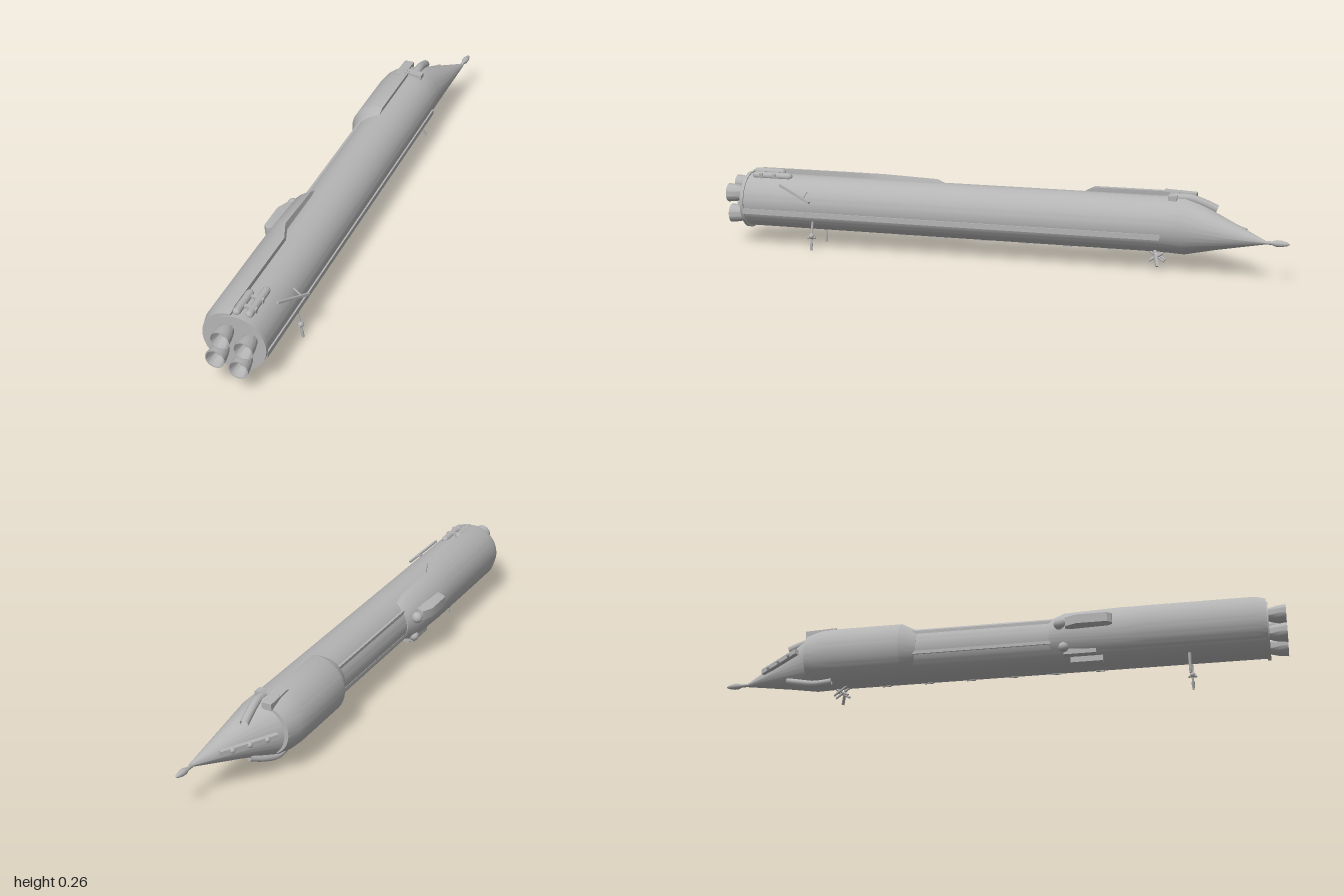
import * as THREE from 'three';
import { toCreasedNormals } from 'three/addons/utils/BufferGeometryUtils.js';

const V = (x, y, z) => new THREE.Vector3(x, y, z);
const RAD = Math.PI / 180;

// Skins a list of convex cross-sections that run from +z towards -z, and caps both ends
function loft(rows) {
  const n = rows[0].length, pos = [], idx = [];
  rows.forEach(r => r.forEach(p => pos.push(p.x, p.y, p.z)));
  for (let i = 0; i < rows.length - 1; i++) {
    for (let k = 0; k < n; k++) {
      const a = i * n + k, b = i * n + (k + 1) % n, c = a + n, d = b + n;
      idx.push(a, c, b, b, c, d);
    }
  }
  const last = (rows.length - 1) * n;
  for (let k = 1; k < n - 1; k++) {
    idx.push(0, k, k + 1, last, last + k + 1, last + k);
  }
  const g = new THREE.BufferGeometry();
  g.setAttribute('position', new THREE.Float32BufferAttribute(pos, 3));
  g.setIndex(idx);
  return toCreasedNormals(g, 28 * RAD);
}

function ring(cx, cy, z, r, n = 64) {
  return Array.from({ length: n }, (_, k) => {
    const a = k / n * 2 * Math.PI;
    return V(cx + r * Math.cos(a), cy + r * Math.sin(a), z);
  });
}

// A pie-shaped section, used for the raised fairings
function sector(cx, cy, z, r, from, to, n = 32) {
  const pts = [V(cx, cy, z)];
  for (let k = 0; k <= n; k++) {
    const a = (from + (to - from) * k / n) * RAD;
    pts.push(V(cx + r * Math.cos(a), cy + r * Math.sin(a), z));
  }
  return pts;
}

export function createModel() {
  const model = new THREE.Group();
  const grey = new THREE.MeshStandardMaterial({ color: 0xb4b4b4, side: THREE.DoubleSide });
  grey.name = 'grey';

  const add = (name, geometry, x = 0, y = 0, z = 0) => {
    const m = new THREE.Mesh(geometry, grey);
    m.name = name;
    m.position.set(x, y, z);
    model.add(m);
    return m;
  };
  // Box beam between two points
  const bar = (name, a, b, w, h) => {
    const mid = a.clone().add(b).multiplyScalar(0.5);
    const m = add(name, new THREE.BoxGeometry(w, h, a.distanceTo(b)), mid.x, mid.y, mid.z);
    m.lookAt(b);
    return m;
  };
  // Round rod between two points
  const rod = (name, a, b, r, r2 = r) => {
    const mid = a.clone().add(b).multiplyScalar(0.5);
    const m = add(name, new THREE.CylinderGeometry(r2, r, a.distanceTo(b), 10), mid.x, mid.y, mid.z);
    m.quaternion.setFromUnitVectors(V(0, 1, 0), b.clone().sub(a).normalize());
    return m;
  };
  // Rounded pod lying along z
  const pod = (name, x, y, z, r, len) =>
    add(name, new THREE.CapsuleGeometry(r, len - 2 * r, 6, 12).rotateX(Math.PI / 2), x, y, z);

  // Main hull, ending in an oblique nose cone
  add('hull', loft([
    ring(0.01, 0.152, 0.935, 0.095), ring(0.01, 0.152, -0.56, 0.095),
    ring(0.004, 0.152, -0.64, 0.1), ring(0.044, 0.144, -0.75, 0.061),
    ring(0.1, 0.131, -0.92, 0.006)
  ]));
  add('sternFlange', new THREE.CylinderGeometry(0.1, 0.1, 0.012, 64).rotateX(Math.PI / 2), 0.01, 0.15, 0.934);

  // Nose probe
  const probe = [[0, -0.1], [0.006, -0.08], [0.006, -0.06], [0.011, -0.045], [0.011, -0.03], [0.006, -0.008], [0, 0]];
  add('noseProbe', new THREE.LatheGeometry(probe.map(p => new THREE.Vector2(...p)), 16)
    .rotateX(-Math.PI / 2), 0.102, 0.13, -1).rotation.y = -0.07;

  // Raised fairings on the -x side: z, radius, start angle, end angle
  const fairing = (name, rows) => add(name,
    loft(rows.map(([z, r, from, to]) => sector(-0.008, 0.155, z, r, from, to))));
  fairing('aftFairing', [
    [0.935, 0.098, 90, 225], [0.9, 0.107, 90, 225], [0.53, 0.107, 90, 225],
    [0.45, 0.107, 107, 225], [0.25, 0.1, 107, 222], [0.2, 0.08, 112, 218]
  ]);
  fairing('foreFairing', [
    [-0.265, 0.078, 85, 240], [-0.32, 0.107, 85, 240], [-0.56, 0.107, 85, 240],
    [-0.61, 0.103, 85, 240], [-0.66, 0.088, 85, 240]
  ]);

  // Engine bells
  const bell = [[0.02, -0.065], [0.024, -0.055], [0.03, -0.03], [0.033, 0],
    [0.029, 0], [0.025, -0.02], [0.018, -0.04], [0, -0.04]].map(p => new THREE.Vector2(...p));
  for (const [x, y] of [[-0.017, 0.197], [0.06, 0.18], [-0.035, 0.12], [0.042, 0.102]]) {
    add('engineBell', toCreasedNormals(new THREE.LatheGeometry(bell, 32).rotateX(Math.PI / 2), 0.6), x, y, 1);
  }

  // Cable ducts along the hull
  bar('sideDuct', V(0.105, 0.125, 0.93), V(0.105, 0.125, -0.57), 0.008, 0.018);
  bar('upperDuct', V(-0.065, 0.203, 0.22), V(-0.065, 0.203, -0.28), 0.012, 0.02);
  bar('lowerDuct', V(-0.076, 0.125, 0.22), V(-0.076, 0.125, -0.28), 0.016, 0.012);

  // Side housing with tapered flanks
  const housing = (z, x) => [V(-0.09, 0.15, z), V(-0.09, 0.207, z), V(x, 0.197, z), V(x, 0.164, z)].reverse();
  add('sideHousing', loft([housing(0.42, -0.122), housing(0.405, -0.135), housing(0.3, -0.135), housing(0.26, -0.118)]));
  add('sideDome', new THREE.SphereGeometry(0.02, 16, 12), -0.105, 0.18, 0.24);
  add('lowerDome', new THREE.SphereGeometry(0.018, 16, 12), -0.088, 0.1, 0.25);
  bar('lowerHousing', V(-0.075, 0.085, 0.25), V(-0.075, 0.085, 0.36), 0.025, 0.022);
  bar('keelHousing', V(-0.045, 0.065, 0.27), V(-0.045, 0.065, 0.38), 0.03, 0.02);

  // Tanks on top of the stern
  pod('sternTank', 0.003, 0.251, 0.865, 0.013, 0.12);
  pod('sternTank', 0.04, 0.244, 0.84, 0.013, 0.15);
  bar('tankClamp', V(-0.012, 0.25, 0.88), V(0.055, 0.244, 0.88), 0.012, 0.018);
  bar('tankClamp', V(-0.012, 0.25, 0.83), V(0.055, 0.244, 0.83), 0.012, 0.018);

  // Equipment on top of the nose
  bar('noseBox', V(-0.025, 0.25, -0.56), V(-0.025, 0.245, -0.67), 0.035, 0.024);
  const arch = new THREE.CatmullRomCurve3([V(0.02, 0.244, -0.59), V(0.02, 0.247, -0.65), V(0.016, 0.232, -0.7), V(0.012, 0.212, -0.745)]);
  add('noseArch', new THREE.TubeGeometry(arch, 20, 0.015, 10));
  bar('crossBox', V(-0.04, 0.25, -0.6), V(0.05, 0.246, -0.6), 0.03, 0.02);

  // Strake and belly strip on the nose
  bar('noseStrake', V(-0.076, 0.165, -0.69), V(0.04, 0.15, -0.845), 0.016, 0.018);
  for (const t of [0.2, 0.5, 0.8]) {
    add('strakeStud', new THREE.SphereGeometry(0.01, 10, 8), -0.08 + 0.116 * t, 0.166 - 0.015 * t, -0.692 - 0.155 * t);
  }
  const belly = new THREE.CatmullRomCurve3([V(-0.04, 0.058, -0.57), V(-0.04, 0.054, -0.63), V(-0.024, 0.07, -0.69), V(0, 0.09, -0.74)]);
  add('bellyStrip', new THREE.TubeGeometry(belly, 20, 0.011, 10));

  // Side antenna near the stern
  bar('sideAntenna', V(0.085, 0.222, 0.795), V(0.133, 0.176, 0.665), 0.008, 0.008);
  rod('antennaBrace', V(0.092, 0.205, 0.69), V(0.122, 0.186, 0.695), 0.003);

  // Lower masts
  rod('portMast', V(-0.035, 0.07, 0.67), V(-0.029, 0, 0.67), 0.006, 0.004);
  rod('starboardMast', V(0.094, 0.1, 0.67), V(0.113, 0, 0.67), 0.004, 0.004);
  add('mastJoint', new THREE.SphereGeometry(0.01, 12, 8), 0.105, 0.05, 0.67);
  rod('mastFoot', V(0.109, 0.025, 0.67), V(0.113, 0.003, 0.67), 0.006, 0.004);
  rod('mastCrossbar', V(0.105, 0.045, 0.655), V(0.105, 0.045, 0.685), 0.004);

  // Crossed frames under the fore hull
  for (const x of [0.02, 0.045]) {
    rod('crossFrame', V(x - 0.015, 0.062, -0.52), V(x, 0.03, -0.575), 0.004);
    rod('crossFrame', V(x + 0.015, 0.062, -0.575), V(x, 0.03, -0.525), 0.004);
  }
  bar('frameArm', V(0.058, 0.07, -0.545), V(0.085, 0.022, -0.56), 0.009, 0.009);

  // Small fittings along the keel
  for (let i = 0; i < 6; i++) {
    add('keelFitting', new THREE.BoxGeometry(0.006, 0.006, 0.03), 0.035, 0.06, 0.36 - i * 0.15);
  }
  return model;
}
